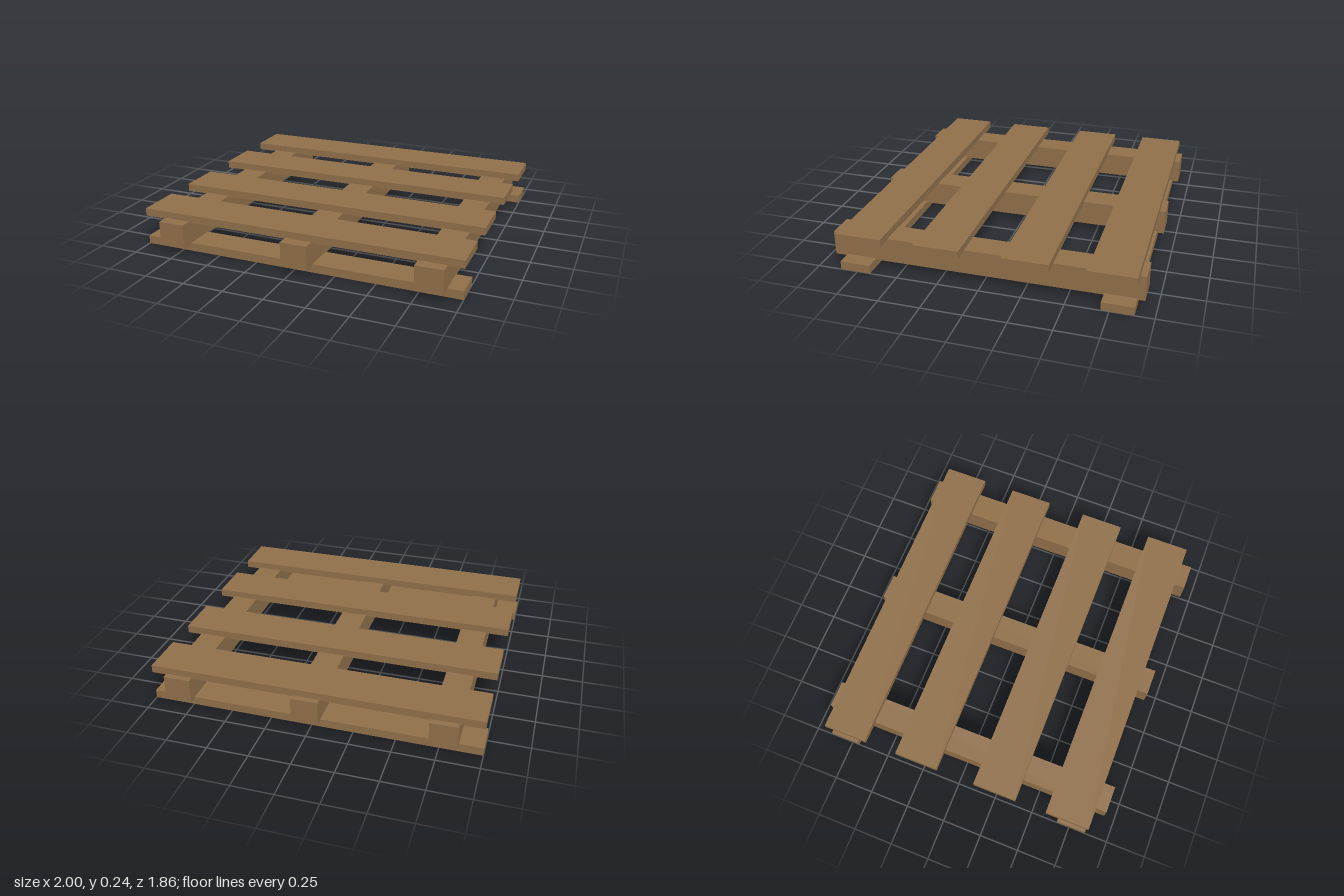
import * as THREE from 'three';

export function createModel() {
  const model = new THREE.Group();
  model.name = 'pallet';
  const wood = new THREE.MeshStandardMaterial({ color: 0x8f6f4a });
  wood.name = 'wood';

  // Plank given by its lower and upper limits on each axis
  function plank(name, [x0, x1], [y0, y1], [z0, z1]) {
    const mesh = new THREE.Mesh(new THREE.BoxGeometry(x1 - x0, y1 - y0, z1 - z0), wood);
    mesh.position.set((x0 + x1) / 2, (y0 + y1) / 2, (z0 + z1) / 2);
    mesh.name = name;
    model.add(mesh);
  }

  // Three beams running front to back
  [[-0.86, -0.695], [-0.053, 0.112], [0.742, 0.907]].forEach((x, i) =>
    plank(`beam${i + 1}`, x, [0.043, 0.194], [-0.931, 0.931]));

  // Four unevenly spaced deck boards, slightly sunk into the beams
  [[-0.895, -0.619], [-0.411, -0.135], [0.112, 0.388], [0.586, 0.862]].forEach((z, i) =>
    plank(`deckBoard${i + 1}`, [-1, 1], [0.188, 0.236], z));

  // Two narrower boards under the beams
  [[-0.889, -0.703], [0.668, 0.854]].forEach((z, i) =>
    plank(`bottomBoard${i + 1}`, [-1, 1], [0, 0.052], z));

  return model;
}
